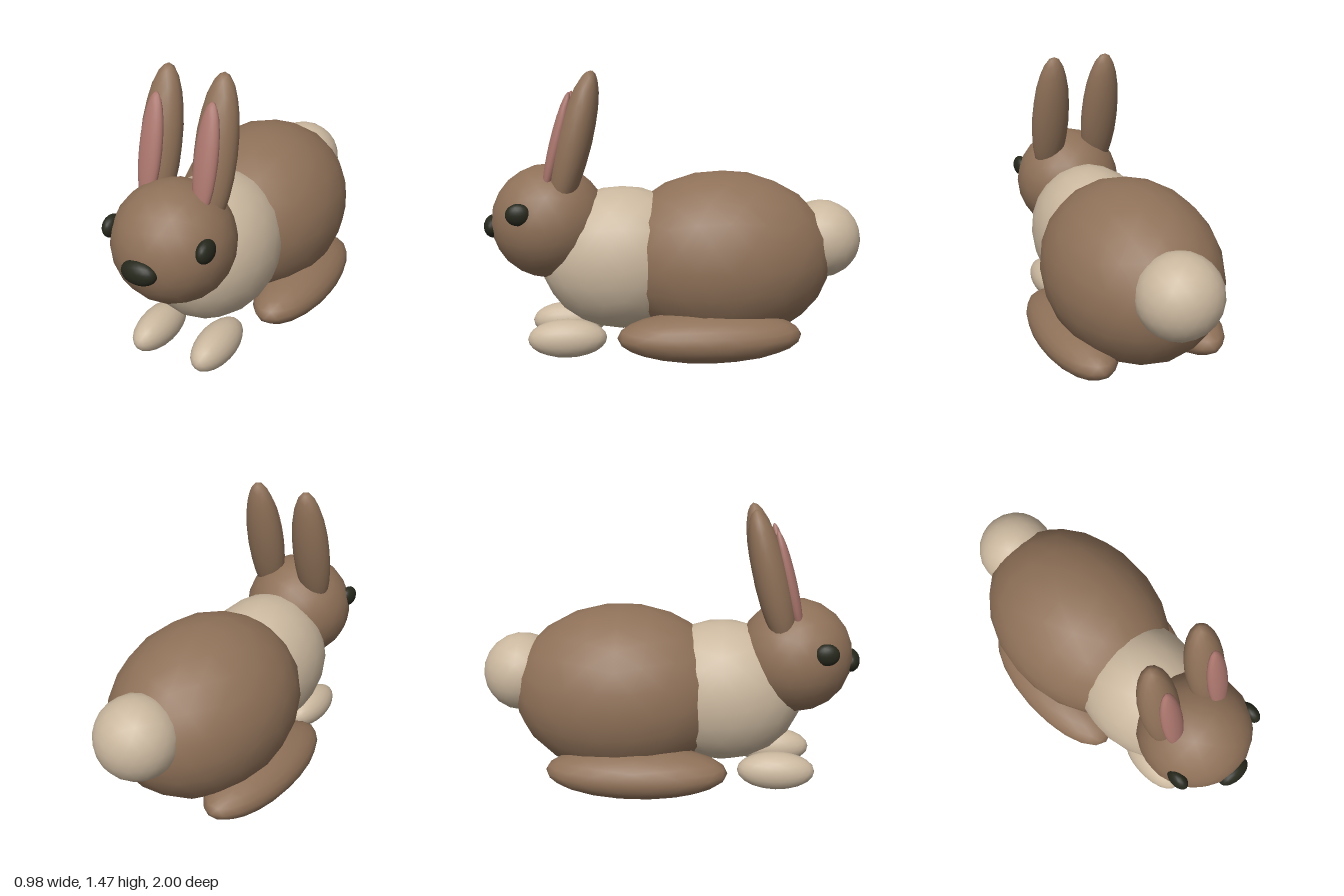
import * as THREE from 'three';

const material = (name, color) => {
  const m = new THREE.MeshStandardMaterial({ color });
  m.name = name;
  return m;
};

export function createModel() {
  const brown = material('brownFur', 0x8f7158);
  const cream = material('creamFur', 0xcab79e);
  const pink = material('innerEarPink', 0xab766d);
  const dark = material('darkFeature', 0x26281c);

  // One smooth icosphere with a vertex at the top, scaled into every part
  const ball = new THREE.IcosahedronGeometry(1, 3);
  ball.rotateZ(Math.atan(2 / (1 + Math.sqrt(5))));

  const rabbit = new THREE.Group();
  rabbit.name = 'rabbit';
  const ellipsoid = (name, mat, position, radii, tilt = 0) => {
    const mesh = new THREE.Mesh(ball, mat);
    mesh.name = name;
    mesh.position.set(...position);
    mesh.scale.set(...radii);
    mesh.rotation.x = tilt;
    rabbit.add(mesh);
  };

  // Torso, head and tail
  ellipsoid('body', brown, [0, 0.483, -0.25], [0.45, 0.462, 0.59]);
  ellipsoid('chest', cream, [0, 0.488, 0.28], [0.33, 0.38, 0.43]);
  ellipsoid('head', brown, [0, 0.69, 0.66], [0.3, 0.3, 0.3]);
  ellipsoid('nose', dark, [0, 0.665, 0.95], [0.092, 0.06, 0.05]);
  ellipsoid('tail', cream, [0, 0.572, -0.79], [0.212, 0.21, 0.21]);

  // Paired parts, mirrored left and right
  const earTilt = -0.25;
  for (const [side, s] of [['left', 1], ['right', -1]]) {
    ellipsoid(side + 'Ear', brown, [s * 0.148, 1.105, 0.52], [0.104, 0.372, 0.088], earTilt);
    ellipsoid(side + 'InnerEar', pink, [s * 0.148, 1.1, 0.607], [0.06, 0.27, 0.036], earTilt);
    ellipsoid(side + 'Eye', dark, [s * 0.253, 0.763, 0.795], [0.038, 0.056, 0.064]);
    ellipsoid(side + 'HindFoot', brown, [s * 0.3, 0.135, -0.155], [0.19, 0.13, 0.47]);
    ellipsoid(side + 'FrontPaw', cream, [s * 0.17, 0.1, 0.57], [0.097, 0.1, 0.203]);
  }
  return rabbit;
}
